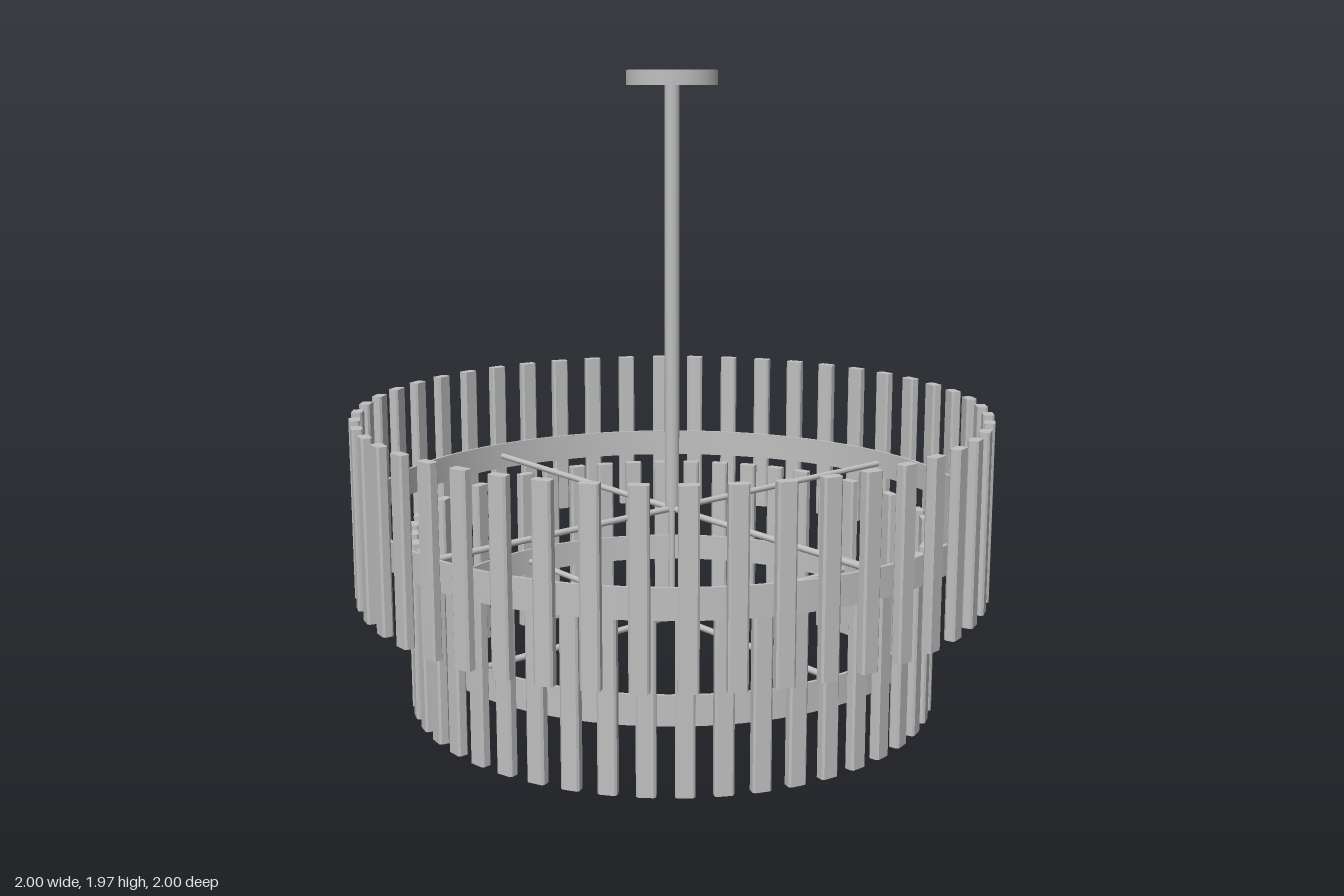
import * as THREE from 'three';
import { toCreasedNormals } from 'three/addons/utils/BufferGeometryUtils.js';

const metal = new THREE.MeshStandardMaterial({ color: 0xc0c0c0 });
metal.name = 'satin metal';

function add(parent, name, geometry, x = 0, y = 0, z = 0) {
  const mesh = new THREE.Mesh(geometry, metal);
  mesh.name = name;
  mesh.position.set(x, y, z);
  parent.add(mesh);
  return mesh;
}

// Upright bar with softened corners, standing on its own base
function barGeometry(width, depth, height) {
  const w = width / 2, d = depth / 2, c = 0.006;
  const outline = [
    [-w + c, -d], [w - c, -d], [w, -d + c], [w, d - c],
    [w - c, d], [-w + c, d], [-w, d - c], [-w, -d + c],
  ].map(([x, y]) => new THREE.Vector2(x, y));
  const geometry = new THREE.ExtrudeGeometry(new THREE.Shape(outline), {
    depth: height, bevelEnabled: false,
  });
  return geometry.rotateX(-Math.PI / 2);
}

// Flat hoop with a rectangular section
function hoopGeometry(inner, outer, height) {
  const h = height / 2;
  const profile = [[inner, -h], [outer, -h], [outer, h], [inner, h], [inner, -h]]
    .map(([x, y]) => new THREE.Vector2(x, y));
  return toCreasedNormals(new THREE.LatheGeometry(profile, 96), 0.6);
}

// One tier: hoop, crossed spokes and a crown of bars fixed outside the hoop
function tier(name, radius, hoopY, baseY) {
  const group = new THREE.Group();
  group.name = name;
  add(group, 'hoop', hoopGeometry(radius - 0.01, radius, 0.09), 0, hoopY, 0);

  const spoke = new THREE.CylinderGeometry(0.01, 0.01, 2 * radius - 0.012, 12);
  add(group, 'spokeAcross', spoke, 0, hoopY, 0).rotation.z = Math.PI / 2;
  add(group, 'spokeFrontToBack', spoke, 0, hoopY, 0).rotation.x = Math.PI / 2;

  const count = 48, depth = 0.034, r = radius + depth / 2;
  const bar = barGeometry(0.056, depth, 0.56);
  for (let i = 0; i < count; i++) {
    const a = (i / count) * Math.PI * 2;
    add(group, 'bar', bar, Math.sin(a) * r, baseY, Math.cos(a) * r).rotation.y = a;
  }
  return group;
}

export function createModel() {
  const model = new THREE.Group();
  model.name = 'tieredChandelier';

  // Ceiling plate and hanging stem
  add(model, 'ceilingPlate', new THREE.CylinderGeometry(0.14, 0.14, 0.045, 48), 0, 1.948, 0);
  add(model, 'stem', new THREE.CylinderGeometry(0.023, 0.023, 1.335, 24), 0, 1.2625, 0);
  add(model, 'lowerStem', new THREE.CylinderGeometry(0.01, 0.01, 0.37, 12), 0, 0.415, 0);

  model.add(tier('upperTier', 0.966, 0.6, 0.365));
  model.add(tier('lowerTier', 0.8, 0.24, 0));
  return model;
}
